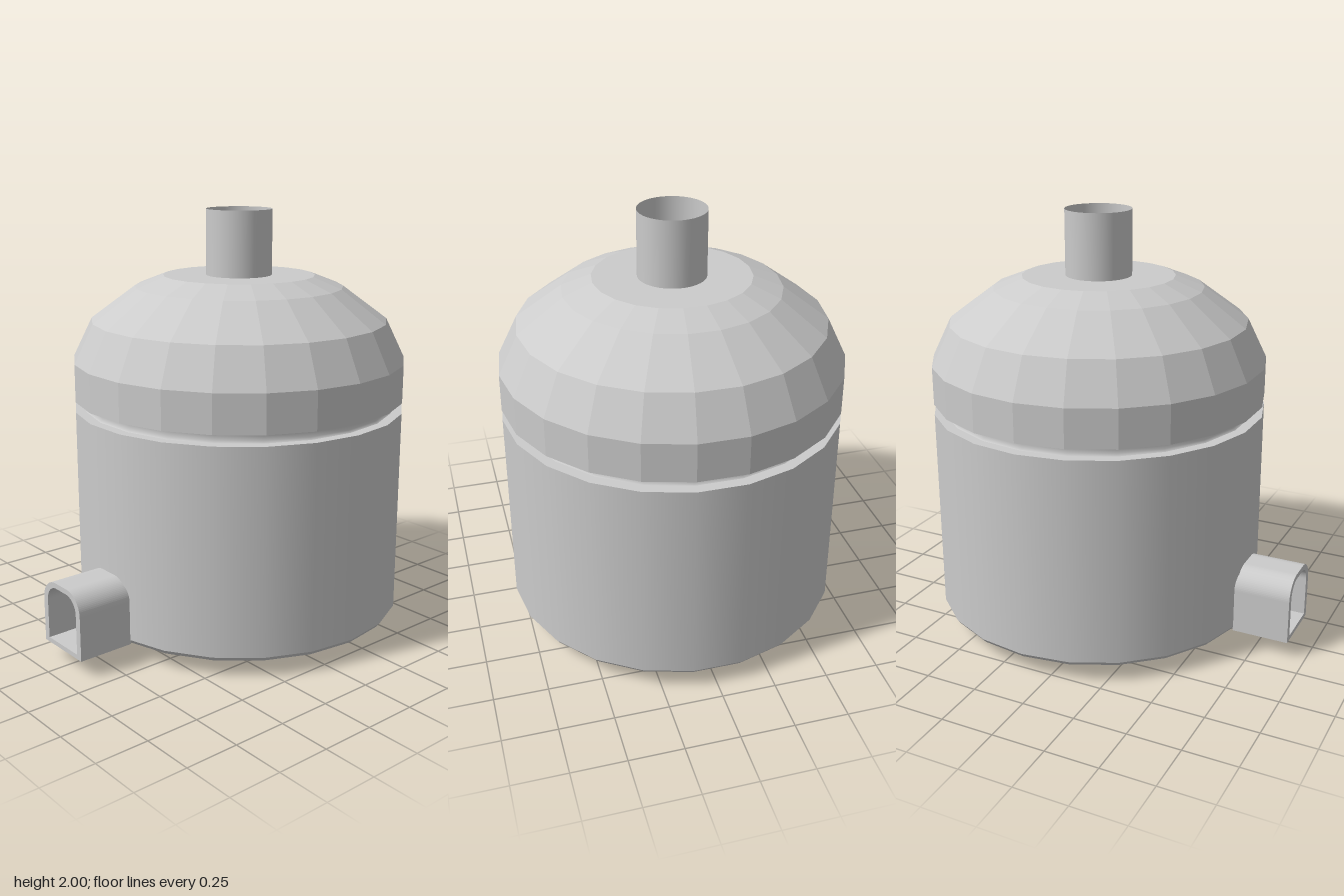
import * as THREE from 'three';

const SIDES = 22;
const AXIS_Z = -0.127;

const material = (options = {}) => new THREE.MeshStandardMaterial({ color: 0xcccccc, ...options });

function addMesh(parent, name, geometry, mat) {
  const mesh = new THREE.Mesh(geometry, mat);
  mesh.name = name;
  parent.add(mesh);
  return mesh;
}

// Revolved strip, listed from bottom to top, with flats facing front and back
function turned(points, sides = SIDES) {
  const profile = points.map(([r, y]) => new THREE.Vector2(r, y));
  return new THREE.LatheGeometry(profile, sides, Math.PI / sides);
}

// Arch outline: square foot, rounded shoulders
function arch(path, halfWidth, bottom, top, radius) {
  path.moveTo(-halfWidth, bottom);
  path.lineTo(halfWidth, bottom);
  path.lineTo(halfWidth, top - radius);
  path.absarc(halfWidth - radius, top - radius, radius, 0, Math.PI / 2, false);
  path.lineTo(radius - halfWidth, top);
  path.absarc(radius - halfWidth, top - radius, radius, Math.PI / 2, Math.PI, false);
  path.lineTo(-halfWidth, bottom);
  return path;
}

export function createModel() {
  const model = new THREE.Group();
  const vessel = new THREE.Group();
  vessel.name = 'vessel';
  vessel.position.z = AXIS_Z;
  model.add(vessel);

  const smooth = material();
  const faceted = material({ flatShading: true });

  // Foot with a filleted join to the underside
  addMesh(vessel, 'footBase', turned([[0, 0], [0.35, 0]]), smooth);
  addMesh(vessel, 'foot', turned([
    [0.35, 0], [0.362, 0.006], [0.368, 0.03], [0.372, 0.06], [0.379, 0.074], [0.395, 0.08],
  ]), smooth);

  // Drum: underside, lower chamfer, wall and top rim
  addMesh(vessel, 'drumUnderside', turned([[0.395, 0.08], [0.78, 0.08]]), smooth);
  addMesh(vessel, 'drumChamfer', turned([[0.78, 0.08], [0.795, 0.1]]), smooth);
  addMesh(vessel, 'drumWall', turned([[0.795, 0.1], [0.795, 1.07]]), smooth);
  addMesh(vessel, 'drumRim', turned([[0.795, 1.07], [0.745, 1.07]]), smooth);

  // Recessed seam between drum and lid
  addMesh(vessel, 'seam', turned([
    [0.745, 1.07], [0.735, 1.08], [0.735, 1.11], [0.745, 1.12],
  ]), smooth);

  // Domed lid: faceted bands and a smooth flat crown
  addMesh(vessel, 'lidUnderside', turned([[0.745, 1.12], [0.795, 1.12]]), smooth);
  addMesh(vessel, 'lidBands', turned([
    [0.795, 1.12], [0.795, 1.3], [0.705, 1.485], [0.495, 1.64], [0.36, 1.693],
  ]), faceted);
  addMesh(vessel, 'lidCrown', turned([[0.36, 1.693], [0, 1.693]]), smooth);

  // Thin open chimney
  const pipe = new THREE.CylinderGeometry(0.156, 0.156, 0.31, 48, 1, true);
  addMesh(vessel, 'chimney', pipe, material({ side: THREE.DoubleSide })).position.y = 1.845;

  // Hollow arched spout at the front
  const section = arch(new THREE.Shape(), 0.147, 0.08, 0.39, 0.1);
  section.holes.push(arch(new THREE.Path(), 0.115, 0.102, 0.365, 0.075));
  const spout = new THREE.ExtrudeGeometry(section, { depth: 0.27, bevelEnabled: false, curveSegments: 10 });
  addMesh(model, 'spout', spout, smooth).position.z = 0.647;

  return model;
}
